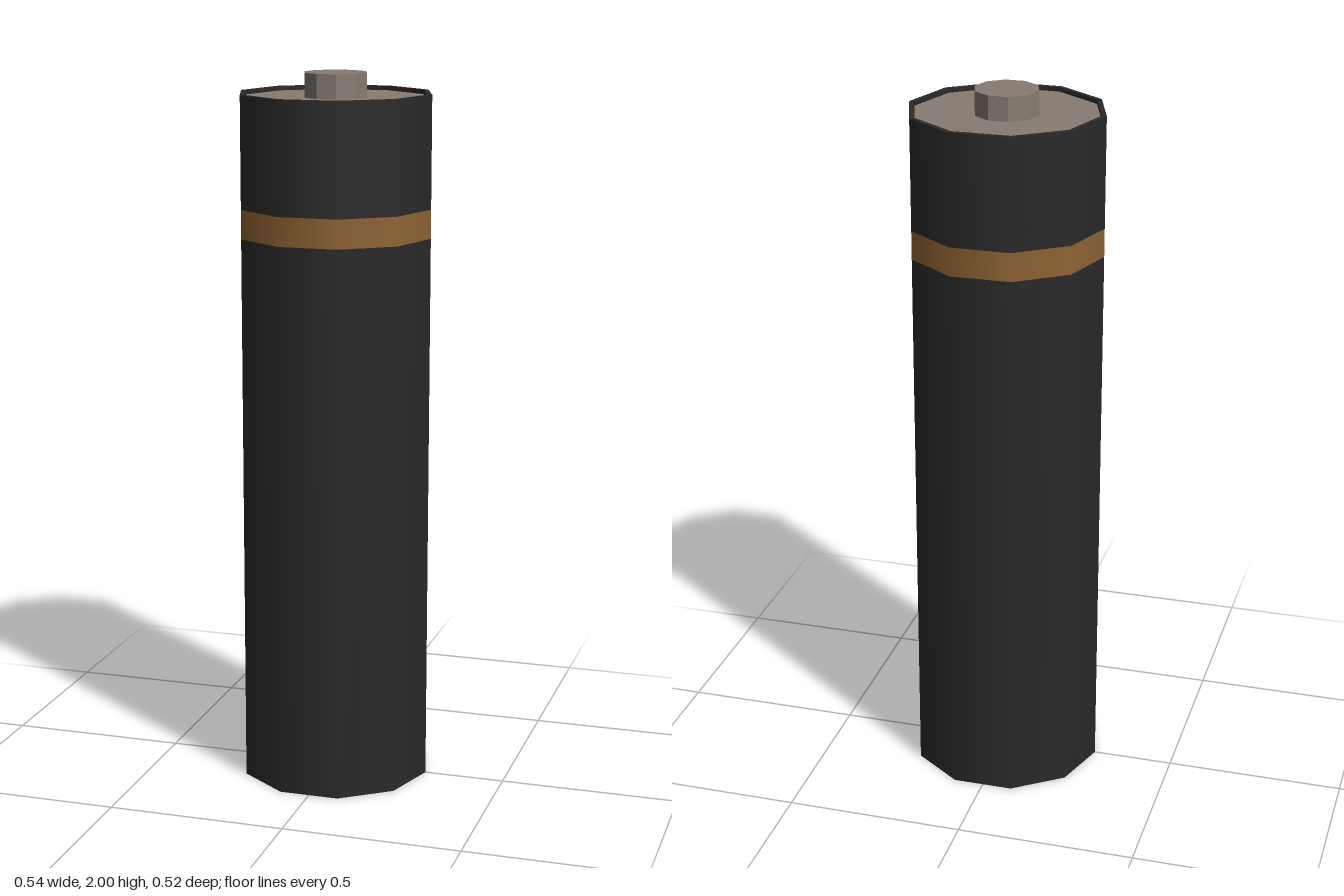
import * as THREE from 'three';

const SIDES = 10, R = 0.272, INNER = 0.258, TOP = 1.945, RECESS = 0.012;

export function createModel() {
  const group = new THREE.Group();
  const mat = (color, extra = {}) => new THREE.MeshStandardMaterial({ color, ...extra });
  const black = mat(0x2a2a2a);
  const copper = mat(0x8f6433);
  const metal = mat(0x877c73, { flatShading: true });
  const lining = mat(0x2a2a2a, { side: THREE.DoubleSide });

  const add = (name, geometry, material) => {
    const mesh = new THREE.Mesh(geometry, material);
    mesh.name = name;
    group.add(mesh);
  };
  // ten-sided tube between two heights, with corners on the x axis
  const tube = (radius, y0, y1, open = true) =>
    new THREE.CylinderGeometry(radius, radius, y1 - y0, SIDES, 1, open, Math.PI / 2)
      .translate(0, (y0 + y1) / 2, 0);
  // flat geometry laid facing up (1) or down (-1)
  const lay = (geometry, y, dir) => geometry.rotateX(-dir * Math.PI / 2).translate(0, y, 0);
  const ring = (y, dir) => lay(new THREE.RingGeometry(INNER, R, SIDES, 1), y, dir);
  const disc = (y, dir) => lay(new THREE.CircleGeometry(INNER, SIDES), y, dir);

  // wrapper with its stripe
  add('lowerSleeve', tube(R, 0, 1.555), black);
  add('stripe', tube(R, 1.555, 1.635), copper);
  add('upperSleeve', tube(R, 1.635, TOP), black);

  // rims folded over both ends
  add('topRim', ring(TOP, 1), black);
  add('topRimLining', tube(INNER, TOP - RECESS, TOP), lining);
  add('bottomRim', ring(0, -1), black);
  add('bottomRimLining', tube(INNER, 0, 0.004), lining);

  // metal ends and the raised contact
  add('topPlate', disc(TOP - RECESS, 1), metal);
  add('bottomPlate', disc(0.004, -1), metal);
  add('contact', tube(0.089, TOP - RECESS, 2, false), metal);

  return group;
}
